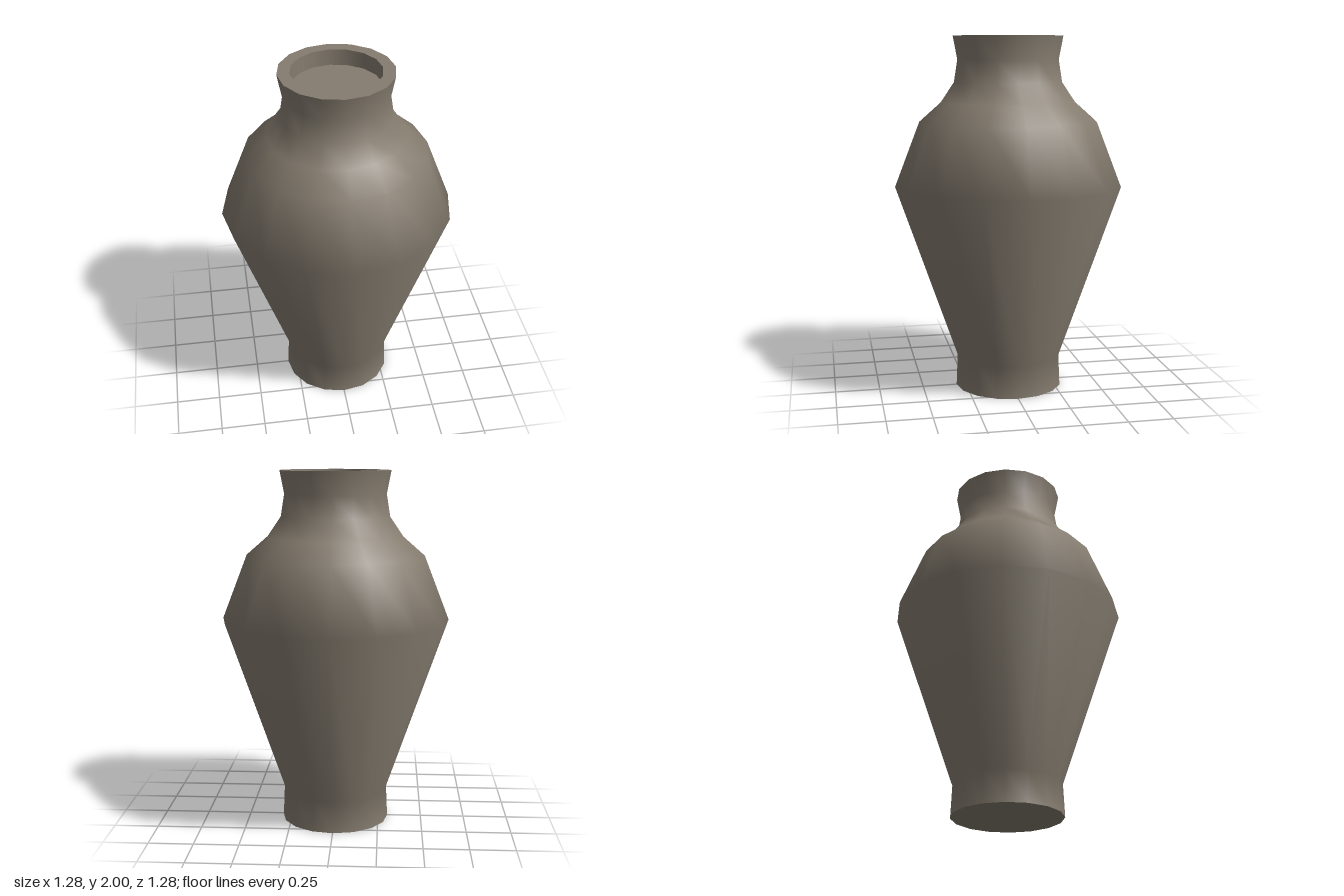
import * as THREE from 'three';

const SIDES = 16;
const RIM = 0.31, MOUTH = 0.243, DEPTH = 0.09;

export function createModel() {
  const vase = new THREE.Group();
  vase.name = 'vase';
  const clay = new THREE.MeshStandardMaterial({ color: 0x857c6f });
  clay.name = 'grey brown clay';

  const add = (name, geometry, y = 0) => {
    const mesh = new THREE.Mesh(geometry, clay);
    mesh.name = name;
    mesh.position.y = y;
    vase.add(mesh);
  };
  const lathe = (points) =>
    new THREE.LatheGeometry(points.map(([r, y]) => new THREE.Vector2(r, y)), SIDES);

  // Smooth outer wall: foot, belly, shoulder, neck and flared lip
  add('body', lathe([
    [0.305, 0], [0.297, 0.18], [0.64, 1.17], [0.5, 1.53],
    [0.38, 1.635], [0.305, 1.745], [0.285, 1.87], [RIM, 2],
  ]));

  // Flat underside
  add('base', new THREE.CircleGeometry(RIM - 0.005, SIDES).rotateX(Math.PI / 2));

  // Flat lip around the mouth, with a shallow recess inside
  add('rim', new THREE.RingGeometry(MOUTH, RIM, SIDES).rotateX(-Math.PI / 2), 2);
  add('mouthWall', lathe([[MOUTH, 2], [MOUTH, 2 - DEPTH]]));
  add('mouthFloor', new THREE.CircleGeometry(MOUTH, SIDES).rotateX(-Math.PI / 2), 2 - DEPTH);

  return vase;
}
